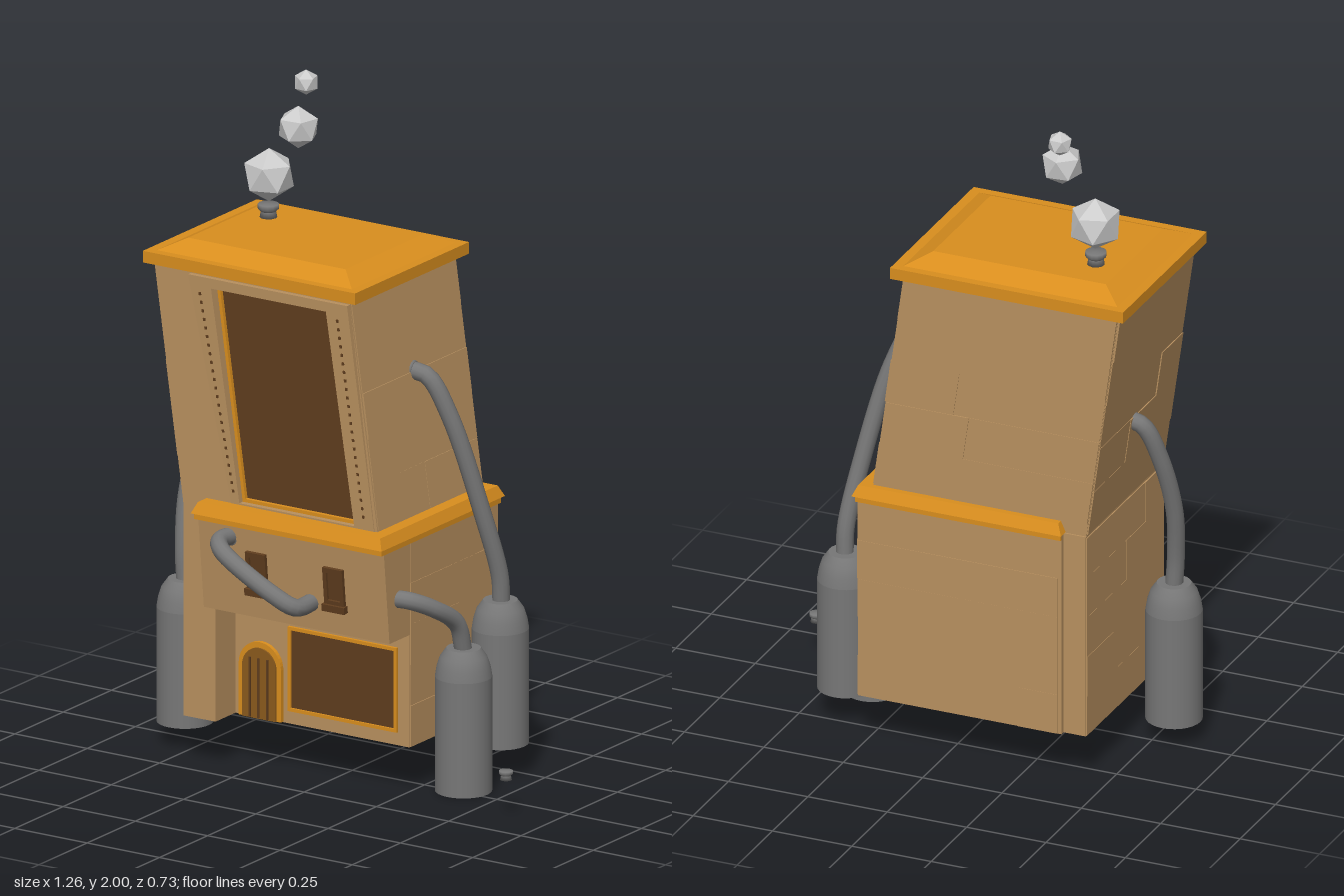
import * as THREE from 'three';

const mat = (color, flatShading = false, side = THREE.FrontSide) =>
  new THREE.MeshStandardMaterial({ color, flatShading, side });
const TAN = mat(0xb8905f, true), DARK = mat(0x5f3d1e, true), ORANGE = mat(0xd98e1e, true);
const METAL = mat(0x777777), SMOKE = mat(0xcccccc, true);
const BEND = 0.78, LEAN = 0.141;

// Small seeded generator for the wall plating
let seed = 7;
const rand = () => (seed = (seed * 16807) % 2147483647) / 2147483647;

export function createModel() {
  const root = new THREE.Group();

  const add = (name, geo, material, parent = root) => {
    const m = new THREE.Mesh(geo, material);
    m.name = name;
    parent.add(m);
    return m;
  };
  const group = (name) => {
    const g = new THREE.Group();
    g.name = name;
    root.add(g);
    return g;
  };
  const reshape = (geo, rule) => {
    const p = geo.attributes.position, v = new THREE.Vector3();
    for (let i = 0; i < p.count; i++) {
      rule(v.fromBufferAttribute(p, i));
      p.setXYZ(i, v.x, v.y, v.z);
    }
    geo.computeVertexNormals();
    return geo;
  };
  // Box from its limits, with an optional inset of the top face
  const box = (x0, x1, y0, y1, z0, z1, inset = 0) => {
    const g = new THREE.BoxGeometry(x1 - x0, y1 - y0, z1 - z0);
    g.translate((x0 + x1) / 2, (y0 + y1) / 2, (z0 + z1) / 2);
    if (inset) reshape(g, (v) => {
      if (v.y < y1 - 1e-4) return;
      v.x += v.x > (x0 + x1) / 2 ? -inset : inset;
      v.z += v.z > (z0 + z1) / 2 ? -inset : inset;
    });
    return g;
  };
  // The upper storey leans towards -x above the bend
  const lean = (geo) => reshape(geo, (v) => { v.x -= Math.max(0, v.y - BEND) * LEAN; });
  const polygon = (pts) => new THREE.Shape(pts.map(([x, y]) => new THREE.Vector2(x, y)));
  const rect = (x0, x1, y0, y1) => [[x0, y0], [x1, y0], [x1, y1], [x0, y1]];
  const frame = (outer, inner, z, depth) => {
    const s = polygon(outer);
    s.holes.push(polygon(inner));
    return new THREE.ExtrudeGeometry(s, { depth, bevelEnabled: false }).translate(0, 0, z);
  };

  // Lower storey, with an open porch cut in the front
  const lower = group('lowerStorey');
  add('lowerColumn', box(-0.44, -0.37, 0.145, BEND, -0.335, 0.215), TAN, lower);
  add('porchPillar', box(-0.438, -0.33, 0.145, 0.49, 0.1, 0.214), TAN, lower);
  add('lowerWalls', box(-0.37, 0.27, 0.145, BEND, -0.35, 0.11), TAN, lower);
  const slab = box(-0.37, 0.272, 0.485, 0.77, 0.1, 0.215);
  add('porchCanopy', reshape(slab, (v) => { if (v.y > 0.7 && v.z > 0.2) v.z = 0.245; }), TAN, lower);

  // Leaning upper storey
  const upper = group('upperStorey');
  add('upperWalls', lean(box(-0.44, 0.235, BEND, 1.5, -0.33, 0.185)), TAN, upper);
  const opening = rect(-0.24, 0.157, 0.82, 1.455);
  add('frontWall', lean(frame(rect(-0.44, 0.235, BEND, 1.5), opening, 0.18, 0.035)), TAN, upper);
  add('windowSurround', lean(reshape(
    frame([[-0.267, 0.79], [0.225, 0.79], [0.235, 1.485], [-0.315, 1.485]], opening, 0.19, 0.027),
    (v) => { if (v.z > 0.2) v.z += (v.y - 0.79) * 0.02; })), TAN, upper);
  add('windowPane', lean(box(-0.24, 0.157, 0.82, 1.455, 0.18, 0.188)), DARK, upper);
  add('windowEdge', lean(frame(opening, rect(-0.23, 0.147, 0.83, 1.445), 0.182, 0.018)), ORANGE, upper);
  // Rivet rows beside the big window
  for (let i = 0; i < 24; i++) {
    const t = i / 23, y = 0.85 + t * 0.58;
    for (const x of [-0.255 - t * 0.025, 0.195])
      add('rivet', lean(box(x - 0.003, x + 0.003, y, y + 0.008, 0.21, 0.222 + t * 0.013)), DARK, upper);
  }

  // Thin overlapping wall plates on both sides and the back
  const plates = group('wallPlates');
  const plate = (wall, u0, u1, y0, y1, t) => {
    if (wall.axis === 'z') return box(u0, u1, y0, y1, wall.at - t, wall.at + 0.004);
    const a = wall.at - wall.dir * 0.004, b = wall.at + wall.dir * t;
    return box(Math.min(a, b), Math.max(a, b), y0, y1, u0, u1);
  };
  const walls = [
    { axis: 'z', at: -0.35, u: [-0.36, 0.268], y: [0.147, 0.765] },
    { axis: 'z', at: -0.33, u: [-0.438, 0.233], y: [0.82, 1.49] },
    { axis: 'x', dir: 1, at: 0.27, u: [-0.348, 0.108], y: [0.147, 0.765] },
    { axis: 'x', dir: 1, at: 0.235, u: [-0.328, 0.21], y: [0.82, 1.49] },
    { axis: 'x', dir: -1, at: -0.44, u: [-0.333, 0.21], y: [0.147, 0.775] },
    { axis: 'x', dir: -1, at: -0.44, u: [-0.328, 0.21], y: [0.785, 1.49] },
  ];
  for (const w of walls) {
    const rows = 5, h = (w.y[1] - w.y[0]) / rows;
    for (let r = 0; r < rows; r++) {
      const y0 = w.y[0] + r * h, cut = w.u[0] + (w.u[1] - w.u[0]) * (0.2 + 0.6 * rand());
      for (const [a, b] of [[w.u[0], cut], [cut, w.u[1]]])
        add('wallPlate', lean(plate(w, a, b, y0, y0 + h, 0.001 + 0.005 * rand())), TAN, plates);
    }
  }

  // Orange cornice between the storeys, and the roof
  const cornice = group('cornice');
  add('corniceLip', box(-0.37, 0.278, 0.763, 0.782, -0.355, 0.265), ORANGE, cornice);
  add('corniceSlope', box(-0.375, 0.285, 0.782, 0.815, -0.364, 0.276, 0.015), ORANGE, cornice);
  const roof = group('roof');
  add('roofEdge', box(-0.567, 0.167, 1.495, 1.53, -0.355, 0.236), ORANGE, roof);
  add('roofSlope', box(-0.537, 0.137, 1.53, 1.562, -0.328, 0.208, 0.065), ORANGE, roof);

  // Arched door
  const arch = (w, top) => {
    const s = new THREE.Shape().moveTo(-w, 0.147).lineTo(w, 0.147).lineTo(w, top - w);
    return s.absarc(0, top - w, w, 0, Math.PI, false).lineTo(-w, 0.147);
  };
  const door = group('door');
  door.position.x = -0.238;
  const doorPart = (name, w, top, depth, m) => add(name,
    new THREE.ExtrudeGeometry(arch(w, top), { depth, bevelEnabled: false, curveSegments: 10 }).translate(0, 0, 0.105), m, door);
  doorPart('doorFrame', 0.073, 0.377, 0.018, ORANGE);
  doorPart('doorLeaf', 0.058, 0.36, 0.023, mat(0x8a5a1c, true));
  for (const x of [-0.03, 0, 0.03])
    add('doorBatten', box(x - 0.003, x + 0.003, 0.15, 0.33, 0.12, 0.132), DARK, door);

  // Shop window in the porch
  const shop = group('shopWindow');
  add('shopPane', box(-0.14, 0.227, 0.19, 0.435, 0.1, 0.113), DARK, shop);
  add('shopEdge', frame(rect(-0.145, 0.232, 0.185, 0.44), rect(-0.135, 0.222, 0.195, 0.43), 0.105, 0.014), ORANGE, shop);

  // Two small windows on the canopy
  for (const x of [-0.173, 0.094]) {
    const g = group('smallWindow');
    g.position.set(x, 0.56, 0.222);
    g.rotation.x = 0.105;
    add('smallFrame', frame(rect(-0.034, 0.034, 0.015, 0.13), rect(-0.022, 0.022, 0.03, 0.115), -0.01, 0.022), DARK, g);
    add('smallPane', box(-0.022, 0.022, 0.03, 0.115, -0.01, 0.004), DARK, g);
    add('smallSill', box(-0.039, 0.039, -0.003, 0.018, -0.01, 0.02), DARK, g);
  }

  // Gas tanks and their pipes
  const tank = new THREE.LatheGeometry([[0, 0], [0.083, 0], [0.083, 0], [0.083, 0.345], [0.083, 0.345],
    [0.078, 0.375], [0.068, 0.405], [0.05, 0.43], [0.05, 0.43], [0, 0.43]].map(([x, y]) => new THREE.Vector2(x, y)), 28);
  const pipe = (name, pts) => {
    const curve = new THREE.CatmullRomCurve3(pts.map((p) => new THREE.Vector3(...p)));
    add(name, new THREE.TubeGeometry(curve, 32, 0.026, 12), METAL);
    // Collar where the pipe enters the wall
    const collar = add(name + 'Collar', new THREE.TorusGeometry(0.024, 0.007, 8, 16), METAL);
    collar.position.copy(curve.getPoint(0.03));
    collar.lookAt(curve.getPoint(0.08));
  };
  for (const p of [[0.37, 0, -0.022], [0.37, 0.095, -0.213], [-0.551, 0.065, 0.041]])
    add('gasTank', tank, METAL).position.set(...p);
  pipe('shortPipe', [[0.25, 0.607, 0.168], [0.3, 0.605, 0.155], [0.345, 0.575, 0.1], [0.368, 0.51, 0.01], [0.37, 0.42, -0.022]]);
  pipe('tallPipe', [[0.16, 1.222, -0.06], [0.215, 1.21, -0.068], [0.275, 1.09, -0.095],
    [0.345, 0.79, -0.16], [0.373, 0.6, -0.205], [0.373, 0.515, -0.213]]);
  pipe('sidePipe', [[-0.46, 1.055, -0.085], [-0.505, 1.035, -0.075], [-0.545, 0.92, -0.04],
    [-0.566, 0.74, 0.01], [-0.558, 0.58, 0.038], [-0.551, 0.485, 0.041]]);
  pipe('frontPipe', [[-0.266, 0.722, 0.22], [-0.266, 0.722, 0.29], [-0.225, 0.705, 0.332],
    [-0.05, 0.605, 0.33], [0.002, 0.57, 0.3], [0.006, 0.566, 0.21]]);

  // Chimney with a flared cap, and a matching loose knob beside the house
  const knob = new THREE.LatheGeometry([[0, 0], [0.026, 0], [0.022, 0.02], [0.022, 0.02], [0.031, 0.028],
    [0.031, 0.042], [0, 0.042]].map(([x, y]) => new THREE.Vector2(x, y)), 12);
  add('chimney', knob, METAL).position.set(-0.39, 1.56, -0.15);
  const loose = add('looseKnob', knob, METAL);
  loose.position.set(0.61, 0.11, 0.118);
  loose.scale.setScalar(0.66);

  // Smoke puffs
  for (const [x, y, z, r, turn] of [[-0.388, 1.69, -0.15, 0.08, 0], [-0.28, 1.855, -0.14, 0.064, 0.4], [-0.31, 1.963, -0.225, 0.038, 0.9]]) {
    const puff = add('smokePuff', new THREE.IcosahedronGeometry(r, 0).rotateZ(-0.5536), SMOKE);
    puff.position.set(x, y, z);
    puff.rotation.y = turn;
  }
  return root;
}
